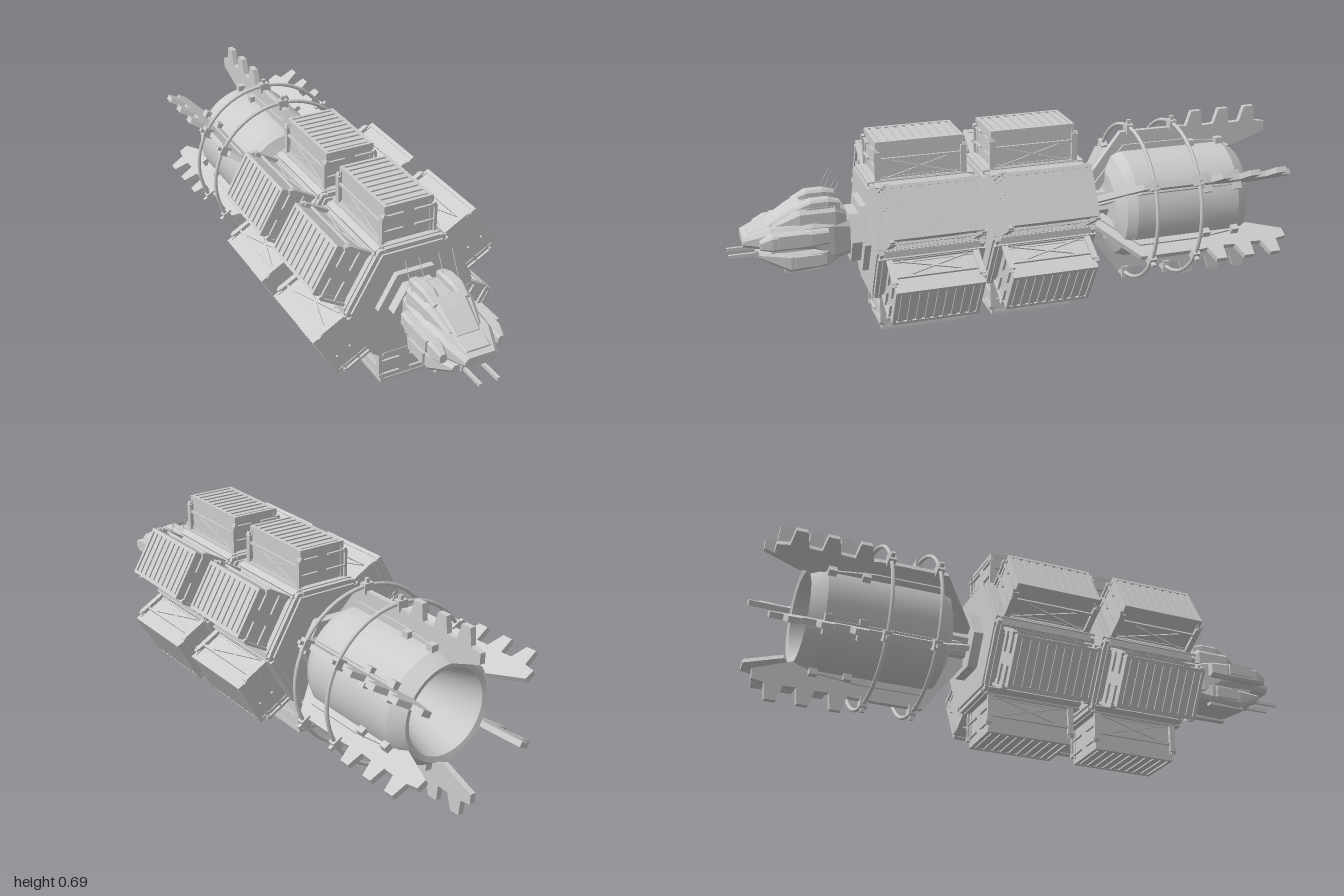
import * as THREE from 'three';
import { toCreasedNormals } from 'three/addons/utils/BufferGeometryUtils.js';

const AXIS_Y = 0.345;
const grey = new THREE.MeshStandardMaterial({ color: 0xcccccc, side: THREE.DoubleSide });
const flat = new THREE.MeshStandardMaterial({ color: 0xcccccc, flatShading: true, side: THREE.DoubleSide });

function add(parent, name, geo, mat = grey) {
  const m = new THREE.Mesh(geo, mat);
  m.name = name;
  parent.add(m);
  return m;
}

function group(parent, name) {
  const g = new THREE.Group();
  g.name = name;
  parent.add(g);
  return g;
}

function box(parent, name, w, h, d, x, y, z, rx = 0, rz = 0) {
  const m = add(parent, name, new THREE.BoxGeometry(w, h, d));
  m.position.set(x, y, z);
  m.rotation.set(rx, 0, rz);
  return m;
}

// Hexagonal prism along z, corners on +-x
function hexPrism(parent, name, R, z0, z1) {
  const pts = [...Array(6)].map((_, i) =>
    new THREE.Vector2(R * Math.cos(i * Math.PI / 3), R * Math.sin(i * Math.PI / 3)));
  const g = new THREE.ExtrudeGeometry(new THREE.Shape(pts), { depth: z1 - z0, bevelEnabled: false });
  return add(parent, name, g.translate(0, 0, z0), flat);
}

// Upright plate drawn in (z, y), thickness along x
function plate(parent, name, pts, t, x = 0) {
  const s = new THREE.Shape(pts.map(p => new THREE.Vector2(...p)));
  const g = new THREE.ExtrudeGeometry(s, { depth: t, bevelEnabled: false });
  g.translate(0, 0, -t / 2).rotateY(-Math.PI / 2).translate(x, 0, 0);
  return add(parent, name, g, flat);
}

// Solid through chamfered cross-sections [z, halfWidth, bottom, top, chamfer], back to front
function loft(parent, name, sections, x = 0) {
  const pos = [], idx = [], n = 8;
  for (const [z, w, b, t, c] of sections)
    for (const [px, py] of [[w, b + c], [w, t - c], [w - c, t], [c - w, t], [-w, t - c], [-w, b + c], [c - w, b], [w - c, b]])
      pos.push(px + x, py, z);
  const last = (sections.length - 1) * n;
  for (let s = 0; s < last; s += n)
    for (let i = 0; i < n; i++) {
      const j = (i + 1) % n;
      idx.push(s + i, s + j, s + n + j, s + i, s + n + j, s + n + i);
    }
  for (let i = 1; i < n - 1; i++) idx.push(0, i + 1, i, last, last + i, last + i + 1);
  const g = new THREE.BufferGeometry();
  g.setAttribute('position', new THREE.Float32BufferAttribute(pos, 3));
  g.setIndex(idx);
  g.computeVertexNormals();
  return add(parent, name, g, flat);
}

// Repeats a part six times about the long axis, its outward direction being +y
function sixTimes(parent, name, build) {
  for (let k = 0; k < 6; k++) {
    const g = group(parent, name);
    g.rotation.z = k * Math.PI / 3;
    build(g);
  }
}

function container(g) {
  box(g, 'containerBody', 0.174, 0.13, 0.3, 0, 0.274, 0);
  // corrugated outer face in a frame
  for (const s of [-1, 1]) {
    box(g, 'topRail', 0.012, 0.014, 0.306, s * 0.084, 0.338, 0);
    box(g, 'endRail', 0.18, 0.014, 0.012, 0, 0.338, s * 0.147);
    box(g, 'bottomRail', 0.012, 0.014, 0.306, s * 0.084, 0.215, 0);
    for (const e of [-1, 1]) box(g, 'cornerPost', 0.012, 0.13, 0.012, s * 0.084, 0.277, e * 0.147);
  }
  for (let i = 0; i < 9; i++)
    box(g, 'slat', 0.158, 0.006, 0.019, 0, 0.341, (i - 4) * 0.031);
  // cradle under the container
  box(g, 'saddle', 0.21, 0.014, 0.34, 0, 0.207, 0);
  const lean = Math.atan2(0.07, 0.25);
  for (const s of [-1, 1]) {
    for (const r of [0.212, 0.285]) box(g, 'sideRail', 0.008, 0.008, 0.31, s * 0.095, r, 0);
    for (const e of [-1, 1]) {
      box(g, 'crossBrace', 0.005, 0.006, 0.26, s * 0.091, 0.249, 0, e * lean);
      box(g, 'bracket', 0.01, 0.1, 0.02, s * 0.096, 0.262, e * 0.15);
      box(g, 'bracketHook', 0.012, 0.018, 0.016, s * 0.092, 0.312, e * 0.155, 0, s * 0.4);
      for (const r of [0.255, 0.31])
        box(g, 'latchBar', 0.07, 0.006, 0.008, s * 0.056, r, e * 0.155);
    }
  }
}

function cargoSection(parent, z) {
  const sec = group(parent, 'cargoSection');
  sec.position.z = z;
  hexPrism(sec, 'hubCore', 0.226, -0.16, 0.16);
  for (const e of [-1, 1]) {
    hexPrism(sec, 'hubEndPlate', 0.237, e * 0.168 - 0.012, e * 0.168 + 0.012);
    hexPrism(sec, 'hubEndStep', 0.222, e * 0.182 - 0.006, e * 0.182 + 0.006);
  }
  sixTimes(sec, 'containerBay', g => {
    container(g);
    for (const e of [-1, 1]) box(g, 'endLip', 0.2, 0.014, 0.014, 0, 0.204, e * 0.178);
  });
  // longitudinal pipes along the hub corners
  for (let k = 0; k < 6; k++) {
    const a = k * Math.PI / 3;
    box(sec, 'cornerPipe', 0.014, 0.024, 0.33, 0.23 * Math.cos(a), 0.23 * Math.sin(a), 0, 0, a);
  }
}

function engine(parent) {
  const e = group(parent, 'engine');
  // hull and nozzle bell in one turned profile
  const profile = [[0.03, -0.5], [0.06, -0.55], [0.1, -0.68], [0.15, -0.86], [0.168, -0.865], [0.2, -0.815],
    [0.2, -0.42], [0.185, -0.385], [0.13, -0.36], [0, -0.36]].map(p => new THREE.Vector2(...p));
  const hull = new THREE.LatheGeometry(profile, 48).rotateX(Math.PI / 2);
  add(e, 'engineHull', toCreasedNormals(hull, 0.4));
  const cap = add(e, 'nozzleThroat', new THREE.CircleGeometry(0.035, 24).rotateY(Math.PI));
  cap.position.z = -0.505;
  for (const z of [-0.455, -0.625]) {
    const ring = add(e, 'braceRing', new THREE.TorusGeometry(0.284, 0.007, 8, 60));
    ring.position.z = z;
  }
  // toothed fins
  const outline = [[-0.28, 0.05], [-0.28, 0.085], [-0.42, 0.27], [-0.66, 0.27]];
  for (const c of [-0.715, -0.825, -0.93])
    outline.push([c + 0.034, 0.267], [c + 0.016, 0.322], [c - 0.022, 0.322], [c - 0.028, 0.265]);
  outline.push([-1, 0.258], [-1, 0.222], [-0.87, 0.175], [-0.84, 0.19], [-0.42, 0.19], [-0.33, 0.05]);
  sixTimes(e, 'finAssembly', g => {
    plate(g, 'fin', outline, 0.02);
    plate(g, 'finFoot', [[-0.3, 0.06], [-0.43, 0.222], [-0.66, 0.222], [-0.8, 0.205], [-0.8, 0.19], [-0.42, 0.19], [-0.34, 0.06]], 0.034);
    for (const z of [-0.455, -0.625]) {
      box(g, 'ringClamp', 0.036, 0.036, 0.026, 0, 0.278, z);
      box(g, 'ringStub', 0.012, 0.018, 0.014, 0, 0.302, z);
    }
    for (const z of [-0.69, -0.805])
      for (const s of [-1, 1]) box(g, 'finClip', 0.026, 0.026, 0.028, s * 0.022, 0.206, z);
  });
}

function cockpit(parent) {
  const c = group(parent, 'cockpit');
  loft(c, 'hull', [[0.57, 0.06, 0.29, 0.41, 0.02], [0.65, 0.09, 0.285, 0.43, 0.02], [0.72, 0.098, 0.335, 0.43, 0.015],
    [0.86, 0.092, 0.345, 0.42, 0.015], [0.95, 0.058, 0.355, 0.39, 0.012]]);
  loft(c, 'lowerJaw', [[0.62, 0.07, 0.29, 0.35, 0.012], [0.68, 0.098, 0.268, 0.335, 0.012],
    [0.8, 0.098, 0.262, 0.33, 0.012], [0.9, 0.07, 0.312, 0.335, 0.008]]);
  loft(c, 'throat', [[0.66, 0.085, 0.32, 0.36, 0.008], [0.86, 0.075, 0.32, 0.36, 0.008]]);
  loft(c, 'cabin', [[0.6, 0.06, 0.4, 0.45, 0.012], [0.64, 0.085, 0.4, 0.475, 0.015],
    [0.76, 0.085, 0.4, 0.475, 0.015], [0.85, 0.06, 0.4, 0.425, 0.008]]);
  loft(c, 'windscreen', [[0.75, 0.058, 0.42, 0.488, 0.01], [0.79, 0.055, 0.42, 0.47, 0.01], [0.87, 0.045, 0.405, 0.42, 0.005]]);
  loft(c, 'noseStrip', [[0.86, 0.055, 0.38, 0.42, 0.005], [0.93, 0.045, 0.38, 0.402, 0.005]]);
  for (const s of [-1, 1]) {
    loft(c, 'sidePod', [[0.67, 0.016, 0.36, 0.41, 0.008], [0.73, 0.022, 0.355, 0.412, 0.008],
      [0.86, 0.022, 0.355, 0.41, 0.008], [0.9, 0.012, 0.362, 0.392, 0.006]], s * 0.104);
    loft(c, 'roofPod', [[0.62, 0.016, 0.46, 0.49, 0.006], [0.66, 0.023, 0.455, 0.502, 0.008],
      [0.72, 0.023, 0.455, 0.502, 0.008], [0.77, 0.016, 0.455, 0.478, 0.006]], s * 0.05);
    for (let i = 0; i < 4; i++) box(c, 'roofRib', 0.006, 0.022, 0.09, s * (0.014 + i * 0.019), 0.466, 0.69);
    box(c, 'shoulder', 0.02, 0.04, 0.1, s * 0.122, 0.39, 0.79);
    box(c, 'jawSkid', 0.024, 0.012, 0.14, s * 0.065, 0.262, 0.75);
    box(c, 'jawSidePad', 0.012, 0.04, 0.09, s * 0.1, 0.3, 0.74);
    box(c, 'prong', 0.01, 0.012, 0.13, s * 0.032, 0.321, 0.935);
    box(c, 'prongRoot', 0.022, 0.02, 0.05, s * 0.032, 0.323, 0.885);
    for (const x of [0.035, 0.085]) box(c, 'antenna', 0.002, 0.1, 0.002, s * x, 0.52, 0.65, -0.5);
  }
}

export function createModel() {
  const model = new THREE.Group();
  model.name = 'cargoShip';
  const axis = group(model, 'mainAxis');
  axis.position.y = AXIS_Y;

  cargoSection(axis, 0.345);
  cargoSection(axis, -0.058);
  engine(axis);
  // spine, collars and necks
  hexPrism(axis, 'spine', 0.15, 0.1, 0.19);
  hexPrism(axis, 'frontCollar', 0.137, 0.52, 0.555);
  hexPrism(axis, 'frontNeck', 0.1, 0.55, 0.59);
  hexPrism(axis, 'rearCollar', 0.12, -0.28, -0.24);
  hexPrism(axis, 'rearNeck', 0.065, -0.38, -0.27);
  cockpit(model);
  return model;
}
